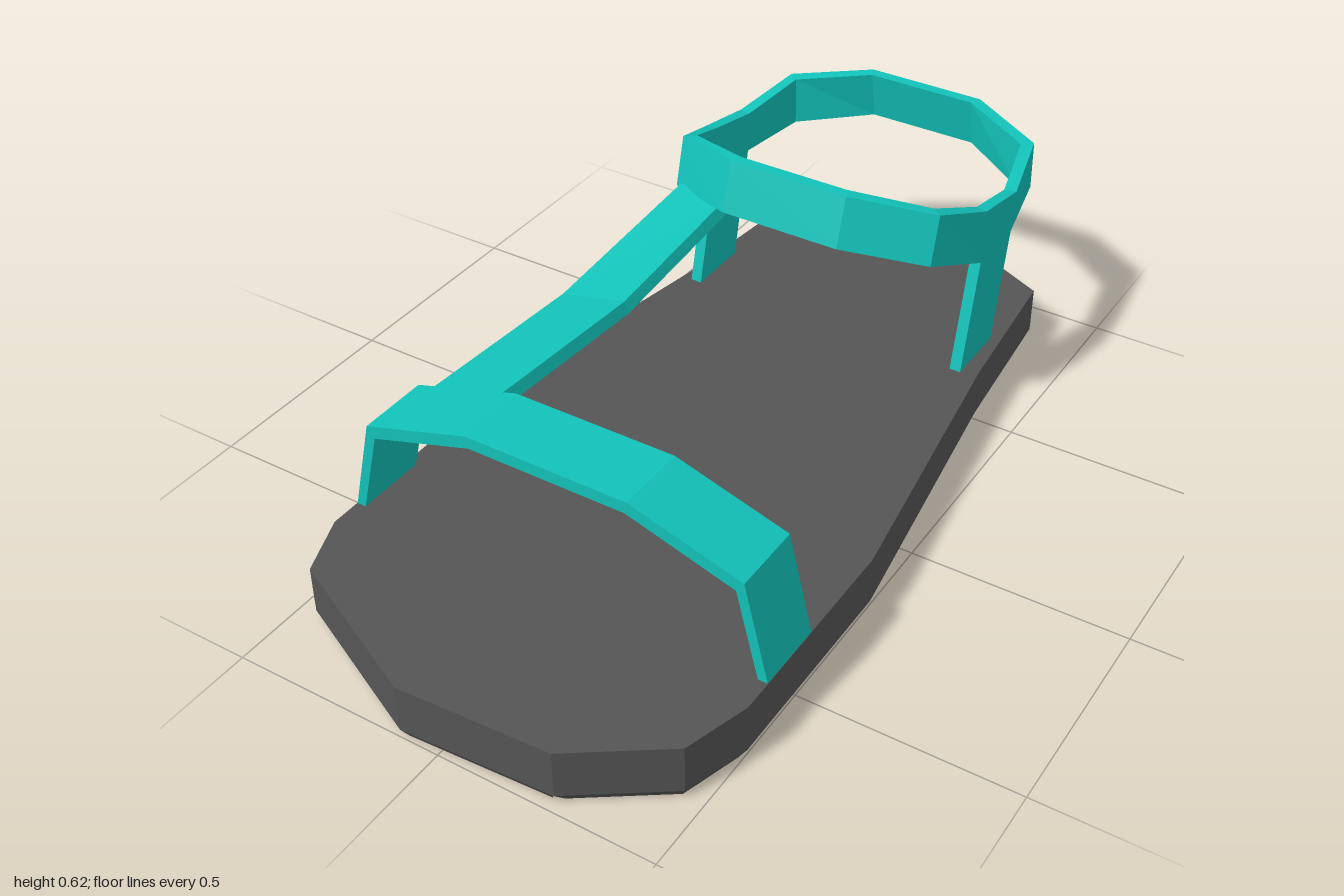
import * as THREE from 'three';

const teal = new THREE.MeshStandardMaterial({ color: 0x12c2b9, flatShading: true });
const dark = new THREE.MeshStandardMaterial({ color: 0x555555, flatShading: true });

// Joins matching rings of [x, y, z] points into a solid; a loop returns to its first ring, otherwise the ends are capped.
function loft(rings, loop = false) {
  const tris = [];
  const n = rings[0].length;
  const last = loop ? rings.length : rings.length - 1;
  for (let i = 0; i < last; i++) {
    const a = rings[i], b = rings[(i + 1) % rings.length];
    for (let j = 0; j < n; j++) {
      const k = (j + 1) % n;
      tris.push([a[j], b[j], b[k]], [a[j], b[k], a[k]]);
    }
  }
  if (!loop) {
    const cap = (ring, flip) => {
      const c = [0, 1, 2].map((d) => ring.reduce((s, p) => s + p[d], 0) / n);
      ring.forEach((p, j) => {
        const q = ring[(j + 1) % n];
        tris.push(flip ? [c, q, p] : [c, p, q]);
      });
    };
    cap(rings[0], false);
    cap(rings[rings.length - 1], true);
  }
  // Turn the faces outward if the enclosed volume comes out negative.
  const volume = tris.reduce((s, [a, b, c]) => s
    + a[0] * (b[1] * c[2] - b[2] * c[1])
    + a[1] * (b[2] * c[0] - b[0] * c[2])
    + a[2] * (b[0] * c[1] - b[1] * c[0]), 0);
  if (volume < 0) tris.forEach((t) => t.reverse());
  const geometry = new THREE.BufferGeometry();
  geometry.setAttribute('position', new THREE.Float32BufferAttribute(tris.flat(2), 3));
  geometry.computeVertexNormals();
  return geometry;
}

// Moves every side of a counter-clockwise [x, z] polygon inward by d.
function inset(poly, d) {
  const n = poly.length;
  const area = poly.reduce((s, p, i) => {
    const q = poly[(i + 1) % n];
    return s + p[0] * q[1] - q[0] * p[1];
  }, 0);
  const sign = Math.sign(area);
  const normal = (p, q) => {
    const l = Math.hypot(q[0] - p[0], q[1] - p[1]);
    return [-sign * (q[1] - p[1]) / l, sign * (q[0] - p[0]) / l];
  };
  return poly.map((p, i) => {
    const a = normal(poly[(i + n - 1) % n], p);
    const b = normal(p, poly[(i + 1) % n]);
    const k = d / (1 + a[0] * b[0] + a[1] * b[1]);
    return [p[0] + (a[0] + b[0]) * k, p[1] + (a[1] + b[1]) * k];
  });
}

const atHeight = (poly, y) => poly.map(([x, z]) => [x, y, z]);

export function createModel() {
  const model = new THREE.Group();
  const add = (name, geometry, material, parent = model) => {
    const mesh = new THREE.Mesh(geometry, material);
    mesh.name = name;
    parent.add(mesh);
  };

  // Grid of [x, z] corners under the foot, from toe to heel; its border is the sole outline.
  const grid = [
    [[-0.45, 0.83], [-0.09, 1], [0.26, 0.98], [0.46, 0.84]],
    [[-0.505, 0.69], [-0.09, 0.69], [0.25, 0.69], [0.505, 0.69]],
    [[-0.505, 0.38], [-0.09, 0.38], [0.23, 0.38], [0.505, 0.38]],
    [[-0.505, 0.2], [-0.09, 0.08], [0.21, 0.1], [0.505, 0.2]],
    [[-0.39, -0.5], [-0.09, -0.64], [0.16, -0.58], [0.405, -0.5]],
    [[-0.345, -0.95], [-0.09, -1], [0.14, -0.99], [0.37, -0.88]],
  ];
  const outline = [
    ...grid[0],
    ...grid.slice(1, -1).map((row) => row[3]),
    ...[...grid[5]].reverse(),
    ...grid.slice(1, -1).map((row) => row[0]).reverse(),
  ];
  add('sole', loft([atHeight(outline, 0.02), atHeight(outline, 0.133)]), dark);

  // Tread blocks with bevelled sides that leave V-shaped grooves
  const tread = new THREE.Group();
  tread.name = 'tread';
  model.add(tread);
  for (let r = 0; r < 5; r++) {
    for (let c = 0; c < 3; c++) {
      const block = [grid[r][c], grid[r][c + 1], grid[r + 1][c + 1], grid[r + 1][c]];
      add('treadBlock', loft([atHeight(block, 0.02), atHeight(inset(block, 0.011), 0)]), dark, tread);
    }
  }

  // Toe strap: a folded band across the foot, [outer x, outer y, inner x, inner y]
  const half = [[0.505, 0.13, 0.483, 0.13], [0.45, 0.36, 0.432, 0.335], [0.19, 0.44, 0.185, 0.412]];
  const arch = [...half, ...half.map(([a, b, c, d]) => [-a, b, -c, d]).reverse()];
  add('toeStrap', loft(arch.map(([ox, oy, ix, iy]) =>
    [[ox, oy, 0.617], [ox, oy, 0.45], [ix, iy, 0.45], [ix, iy, 0.617]])), teal);

  // Ankle strap: tilted ring, [x, upper y, upper z, lower y, lower z] from front to back
  const side = [
    [0.145, 0.625, -0.3, 0.51, -0.265],
    [0.328, 0.59, -0.39, 0.475, -0.36],
    [0.367, 0.53, -0.55, 0.4, -0.54],
    [0.367, 0.5, -0.71, 0.4, -0.7],
    [0.328, 0.53, -0.885, 0.41, -0.89],
    [0.145, 0.555, -0.97, 0.435, -0.995],
  ];
  const around = [...side, ...side.map(([x, ...rest]) => [-x, ...rest]).reverse()];
  const inward = (z) => -0.63 + (z + 0.63) * 0.92;
  add('ankleStrap', loft(around.map(([x, uy, uz, ly, lz]) => [
    [x, uy, uz], [x, ly, lz], [x * 0.925, ly, inward(lz)], [x * 0.925, uy, inward(uz)],
  ]), true), teal);

  // Slanted uprights holding the ankle strap
  for (const s of [-1, 1]) {
    const level = (y, front, back) =>
      [[s * 0.367, y, front], [s * 0.367, y, back], [s * 0.34, y, back], [s * 0.34, y, front]];
    add(s > 0 ? 'leftUpright' : 'rightUpright',
      loft([level(0.13, -0.48, -0.64), level(0.41, -0.545, -0.702)]), teal);
  }

  // Instep strap from the toe strap to the ankle strap, [z, outer x, outer y, inner x, inner y]
  const instep = [
    [0.46, -0.41, 0.37, -0.235, 0.418],
    [0.04, -0.37, 0.385, -0.205, 0.423],
    [-0.35, -0.31, 0.49, -0.17, 0.512],
  ];
  add('instepStrap', loft(instep.map(([z, ox, oy, ix, iy]) =>
    [[ox, oy, z], [ix, iy, z], [ix + 0.01, iy - 0.028, z], [ox + 0.01, oy - 0.028, z]])), teal);

  return model;
}
